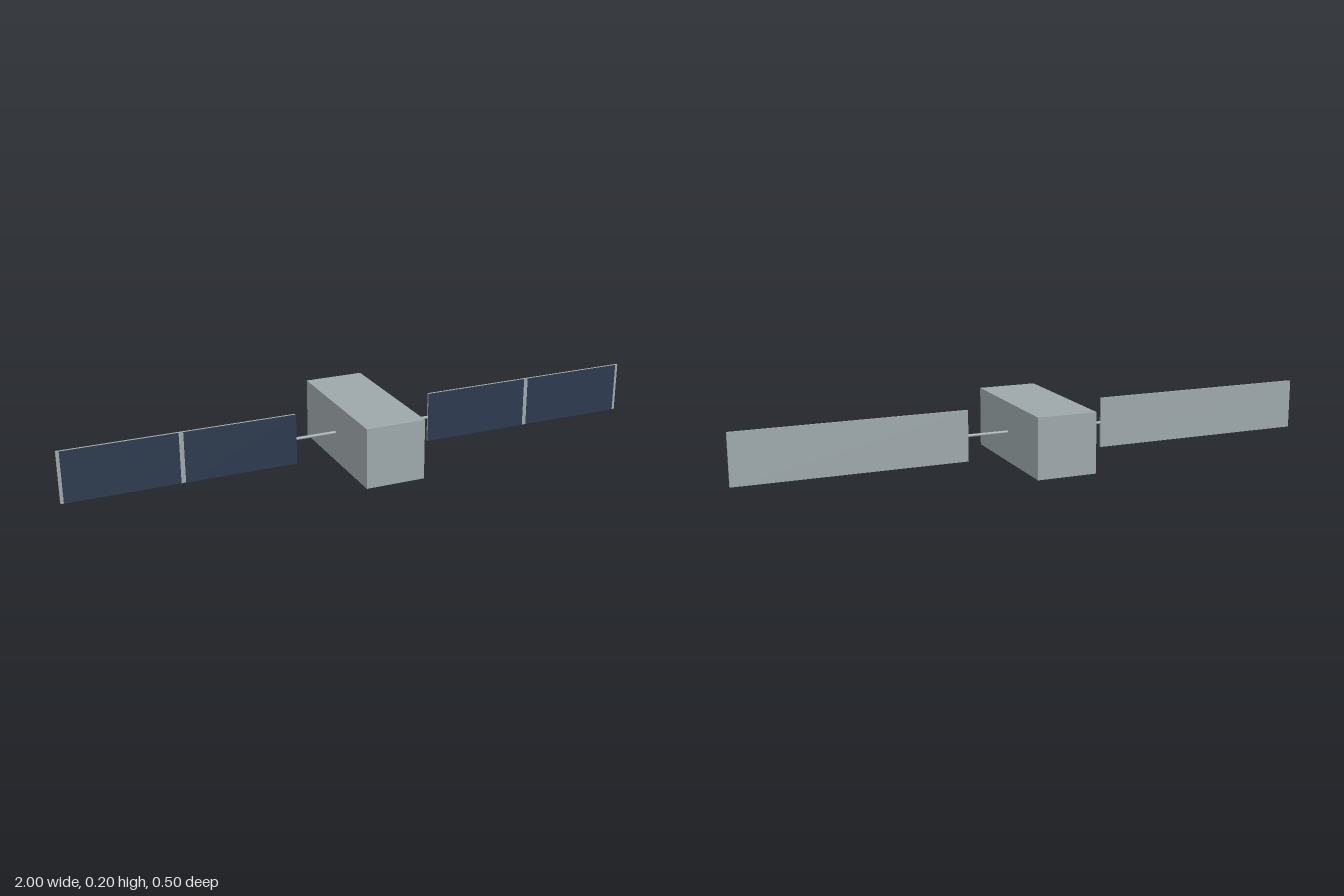
import * as THREE from 'three';

export function createModel() {
  const model = new THREE.Group();
  model.name = 'satellite';

  const metal = new THREE.MeshStandardMaterial({ color: 0x9da7aa });
  metal.name = 'grey metal';
  const solar = new THREE.MeshStandardMaterial({ color: 0x2c3a4e });
  solar.name = 'dark blue solar cell';

  const midY = 0.1;
  const panelHeight = 0.17;
  const panelDepth = 0.008;

  function addBox(parent, name, material, x0, x1, height, depth, z = 0) {
    const mesh = new THREE.Mesh(new THREE.BoxGeometry(x1 - x0, height, depth), material);
    mesh.name = name;
    mesh.position.set((x0 + x1) / 2, midY, z);
    parent.add(mesh);
  }

  // Main body
  addBox(model, 'body', metal, -0.1, 0.1, 0.2, 0.5);

  // One wing per side: boom, backing panel and two cells on the front face
  for (const side of [1, -1]) {
    const wing = new THREE.Group();
    wing.name = side > 0 ? 'leftWing' : 'rightWing';
    const span = (name, material, a, b, height, depth, z) =>
      addBox(wing, name, material, Math.min(a * side, b * side), Math.max(a * side, b * side), height, depth, z);

    const boom = new THREE.Mesh(new THREE.CylinderGeometry(0.005, 0.005, 0.14, 12), metal);
    boom.name = 'boom';
    boom.rotation.z = Math.PI / 2;
    boom.position.set(side * 0.168, midY, 0);
    wing.add(boom);

    span('panel', metal, 0.238, 1, panelHeight, panelDepth, 0);
    const cellZ = panelDepth / 2 + 0.0005;
    span('innerCell', solar, 0.238, 0.61, panelHeight, 0.001, cellZ);
    span('outerCell', solar, 0.625, 0.99, panelHeight, 0.001, cellZ);
    model.add(wing);
  }

  return model;
}
